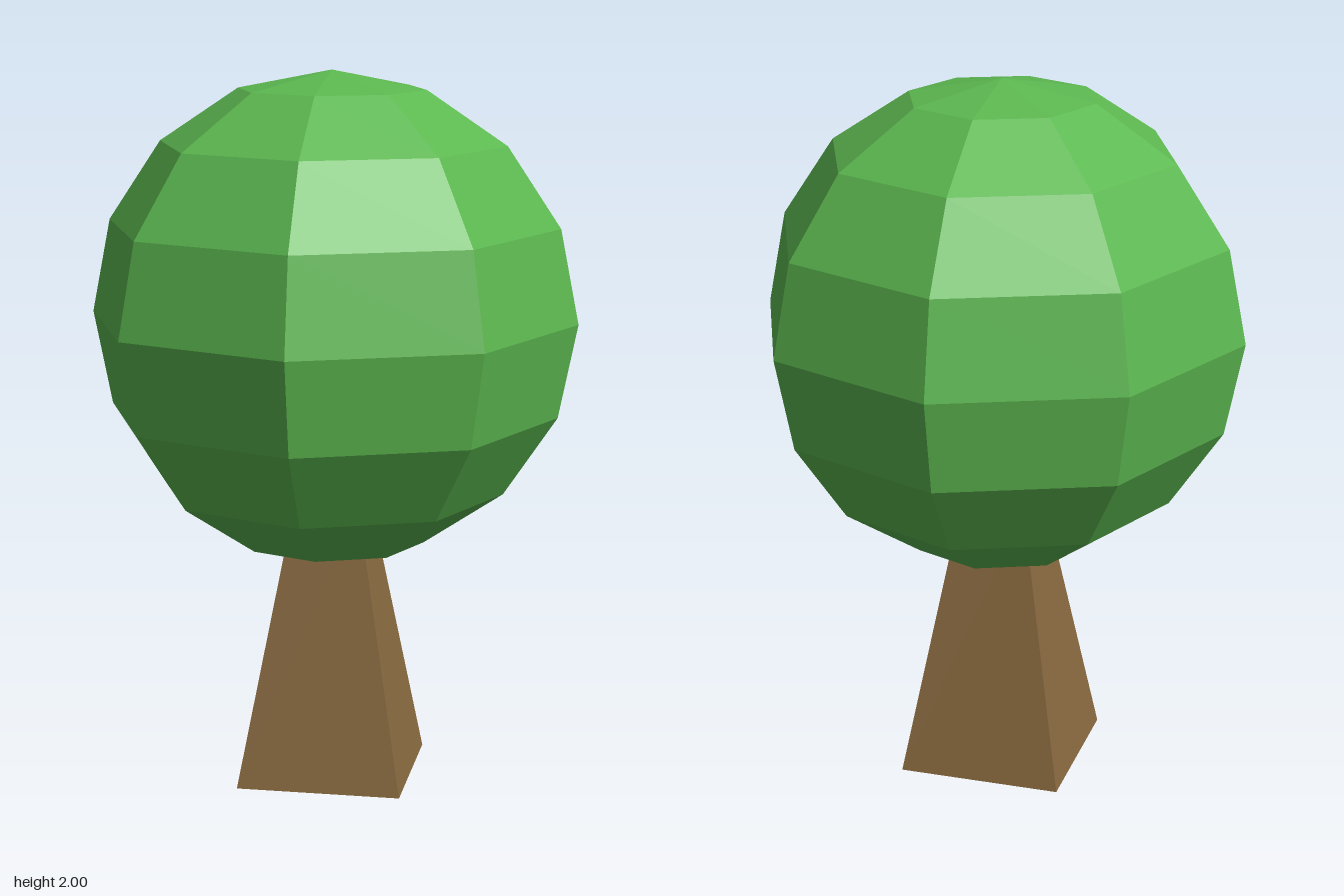
import * as THREE from 'three';

function part(name, geometry, color, y) {
  const material = new THREE.MeshStandardMaterial({ flatShading: true });
  material.color.set(color);
  const mesh = new THREE.Mesh(geometry, material);
  mesh.name = name;
  mesh.position.y = y;
  return mesh;
}

export function createModel() {
  const tree = new THREE.Group();
  tree.name = 'tree';

  // Four-sided tapering trunk, corners on the axes, top sunk into the crown
  const trunkHeight = 0.8;
  tree.add(part('trunk', new THREE.CylinderGeometry(0.128, 0.327, trunkHeight, 4), 0x8b6b41, trunkHeight / 2));

  // Faceted round crown
  const crownRadius = 0.686;
  tree.add(part('crown', new THREE.SphereGeometry(crownRadius, 8, 8), 0x5cb850, 2 - crownRadius));

  return tree;
}
